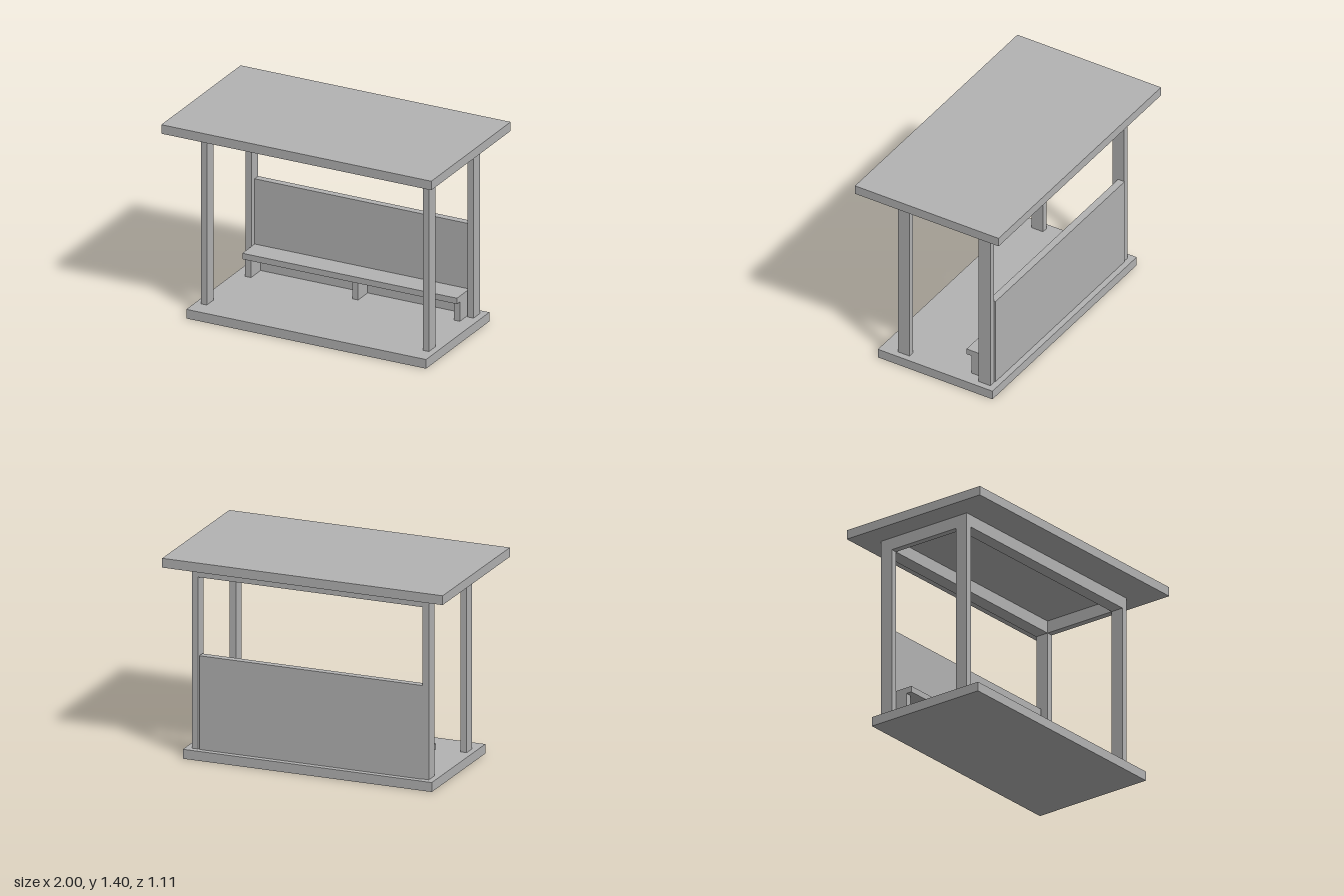
import * as THREE from 'three';

export function createModel() {
  const model = new THREE.Group();
  model.name = 'shelter';
  const grey = new THREE.MeshStandardMaterial({ color: 0xb3b3b3 });
  grey.name = 'plain grey';

  // Box given by its extent along each axis
  function block(name, [x0, x1], [y0, y1], [z0, z1], parent = model) {
    const mesh = new THREE.Mesh(new THREE.BoxGeometry(x1 - x0, y1 - y0, z1 - z0), grey);
    mesh.name = name;
    mesh.position.set((x0 + x1) / 2, (y0 + y1) / 2, (z0 + z1) / 2);
    parent.add(mesh);
  }

  const floorTop = 0.065, beamBottom = 1.25, roofBottom = 1.336;
  const rightX = [-0.835, -0.79], leftX = [0.81, 0.855];
  const frontZ = [0.225, 0.315], backZ = [-0.4, -0.31];

  // Floor slab and flat roof
  block('floor', [-0.875, 0.9], [0, floorTop], [-0.445, 0.44]);
  block('roof', [-1, 1], [roofBottom, 1.4], [-0.555, 0.555]);

  // Corner posts and the side beams joining them
  for (const [side, x] of [['right', rightX], ['left', leftX]]) {
    block(side + 'FrontPost', x, [floorTop, roofBottom], frontZ);
    block(side + 'BackPost', x, [floorTop, roofBottom], backZ);
    block(side + 'Beam', x, [beamBottom, roofBottom], [backZ[1], frontZ[0]]);
  }

  // Long beams under the roof
  block('frontBeam', [rightX[1], leftX[0]], [beamBottom, roofBottom], frontZ);
  block('backBeam', [rightX[1], leftX[0]], [beamBottom, roofBottom], [-0.405, -0.31]);

  // Back panel
  block('backPanel', [-0.79, 0.8], [floorTop, 0.71], [-0.405, -0.355]);

  // Bench with three legs
  const bench = new THREE.Group();
  bench.name = 'bench';
  model.add(bench);
  block('seat', [-0.79, 0.8], [0.203, 0.245], [-0.355, -0.182], bench);
  for (const x of [-0.79, 0.003, 0.757]) {
    block('benchLeg', [x, x + 0.043], [floorTop, 0.203], [-0.355, -0.222], bench);
  }
  return model;
}
